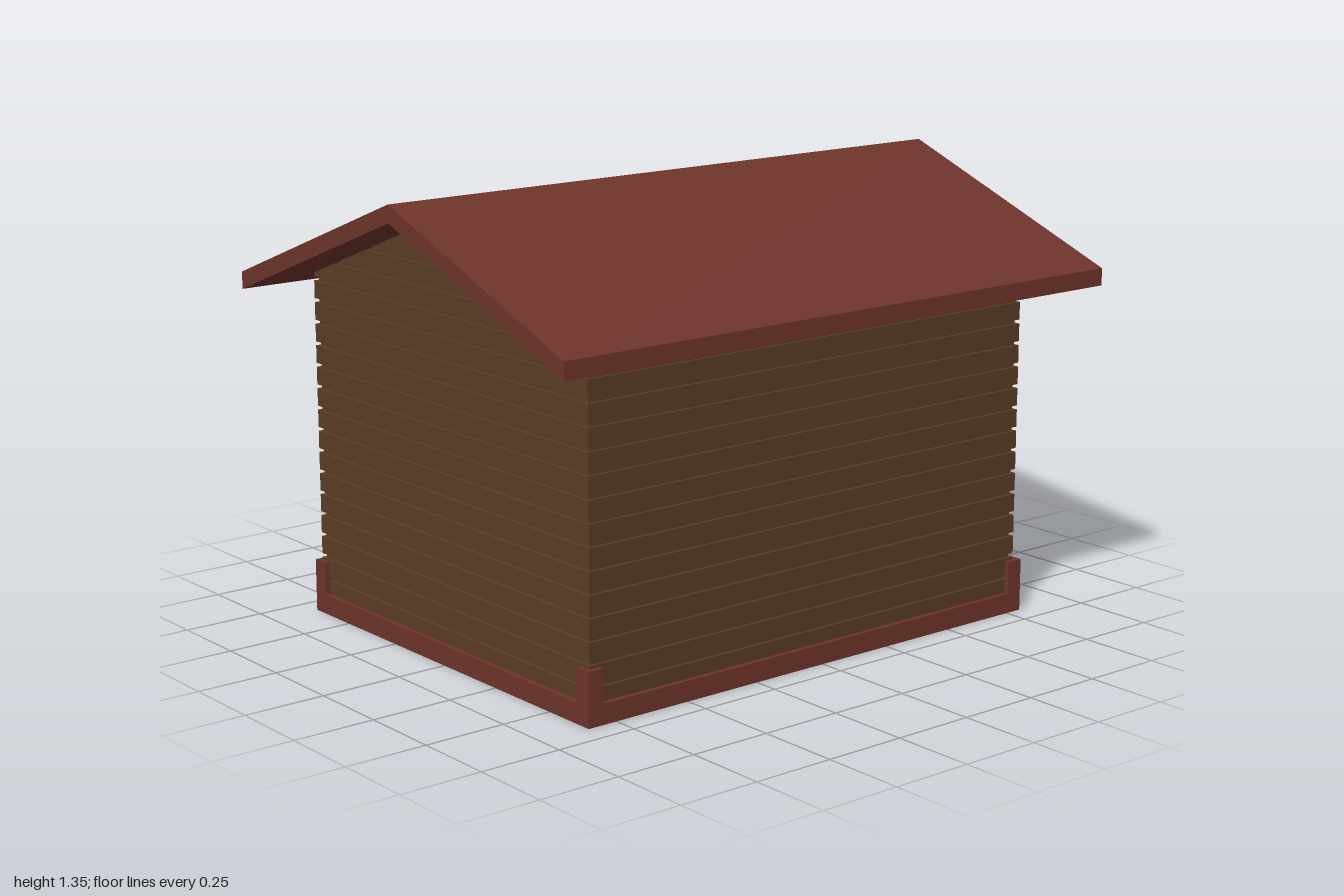
import * as THREE from 'three';

const paint = (color) => new THREE.MeshStandardMaterial({ color, flatShading: true });
const RED = paint(0x6e342b), WOOD = paint(0x5a3d26), FLOOR = paint(0xc6926f);

// Main sizes
const HALF = 0.66, FRONT = 0.83, BACK = -0.785, THICK = 0.055, GROOVE = 0.01;
const BASE_H = 0.06, PEAK = 1.295, ROOF_X = 0.785, EAVE = 0.995;
const SLOPE = (PEAK - EAVE) / ROOF_X;
const WALL_TOP = PEAK - HALF * SLOPE;
const COURSE = 0.0654, GAP = 0.012;

// Openings of the back wall
const DOOR = { x0: 0.06, x1: 0.447, y0: 0, y1: 0.8 };
const WINDOW = { x0: -0.573, x1: -0.105, y0: 0.433, y1: 0.693 };

function box(parent, name, mat, x0, x1, y0, y1, z0, z1) {
  const mesh = new THREE.Mesh(new THREE.BoxGeometry(x1 - x0, y1 - y0, z1 - z0), mat);
  mesh.position.set((x0 + x1) / 2, (y0 + y1) / 2, (z0 + z1) / 2);
  mesh.name = name;
  parent.add(mesh);
}

function prism(parent, name, mat, points, z0, z1) {
  const shape = new THREE.Shape(points.map(([x, y]) => new THREE.Vector2(x, y)));
  const geo = new THREE.ExtrudeGeometry(shape, { depth: z1 - z0, bevelEnabled: false });
  const mesh = new THREE.Mesh(geo, mat);
  mesh.position.z = z0;
  mesh.name = name;
  parent.add(mesh);
}

// One horizontal strip of a gable wall, cut around the openings and under the roof
function gableStrip(parent, name, y0, y1, z0, z1, half, openings) {
  const cuts = [y0, y1, PEAK - half * SLOPE, ...openings.flatMap((o) => [o.y0, o.y1])]
    .filter((y) => y >= y0 && y <= y1).sort((a, b) => a - b);
  const width = (y) => Math.min(half, (PEAK - y) / SLOPE);
  for (let i = 0; i < cuts.length - 1; i++) {
    const a = cuts[i], b = cuts[i + 1];
    if (b - a < 1e-4) continue;
    const holes = openings.filter((o) => o.y0 < b - 1e-4 && o.y1 > a + 1e-4).sort((p, q) => p.x0 - q.x0);
    // Each piece runs from the last opening (or wall end) to the next one
    for (let h = 0; h <= holes.length; h++) {
      const left = (y) => (h === 0 ? -width(y) : holes[h - 1].x1);
      const right = (y) => (h === holes.length ? width(y) : holes[h].x0);
      const pts = [[left(a), a], [right(a), a], [right(b), b]];
      if (right(b) - left(b) > 1e-4) pts.push([left(b), b]);
      prism(parent, name, WOOD, pts, z0, z1);
    }
  }
}

// Bottom and top of every board up to a given height
function courses(top) {
  const rows = [];
  for (let y = 0.109 - COURSE; y + GAP / 2 < top; y += COURSE) {
    rows.push([y + GAP / 2, Math.min(y + COURSE - GAP / 2, top)]);
  }
  return rows;
}

function gableWall(name, z0, openings) {
  const wall = new THREE.Group();
  wall.name = name;
  for (const [a, b] of courses(PEAK)) gableStrip(wall, 'board', a, b, z0, z0 + THICK, HALF, openings);
  gableStrip(wall, 'wallCore', 0.05, PEAK, z0 + GROOVE, z0 + THICK - GROOVE, HALF - GROOVE, openings);
  return wall;
}

function sideWall(name, side) {
  const wall = new THREE.Group();
  wall.name = name;
  const span = (inset) => [side * (HALF - inset), side * (HALF - THICK + inset)].sort((a, b) => a - b);
  for (const [a, b] of courses(WALL_TOP)) {
    box(wall, 'board', WOOD, ...span(0), a, b, BACK + THICK, FRONT - THICK);
  }
  box(wall, 'wallCore', WOOD, ...span(GROOVE), 0.05, WALL_TOP, BACK + 0.02, FRONT - 0.02);
  return wall;
}

export function createModel() {
  const cabin = new THREE.Group();
  cabin.name = 'cabin';

  // Base with raised corner blocks
  const base = new THREE.Group();
  base.name = 'base';
  const bx = 0.675, bz0 = -0.805, bz1 = 0.845, post = 0.052;
  box(base, 'baseSlab', RED, -bx, bx, 0, BASE_H, bz0, bz1);
  for (const x of [-bx, bx - post]) {
    for (const z of [bz0, bz1 - post]) {
      box(base, 'cornerBlock', RED, x, x + post, BASE_H, 0.16, z, z + post);
    }
  }
  cabin.add(base);

  // Floor, reaching into the doorway
  box(cabin, 'floor', FLOOR, -HALF + 0.02, HALF - 0.02, 0.05, BASE_H + 0.004, BACK + 0.012, FRONT - 0.02);

  // Walls of stacked boards
  cabin.add(
    gableWall('frontWall', FRONT - THICK, []),
    gableWall('backWall', BACK, [DOOR, WINDOW]),
    sideWall('leftWall', 1),
    sideWall('rightWall', -1),
  );

  // Gabled roof
  const t = 0.052;
  prism(cabin, 'roof', RED, [
    [-ROOF_X, EAVE], [0, PEAK], [ROOF_X, EAVE],
    [ROOF_X, EAVE + t], [0, PEAK + t], [-ROOF_X, EAVE + t],
  ], -1, 1);

  return cabin;
}
